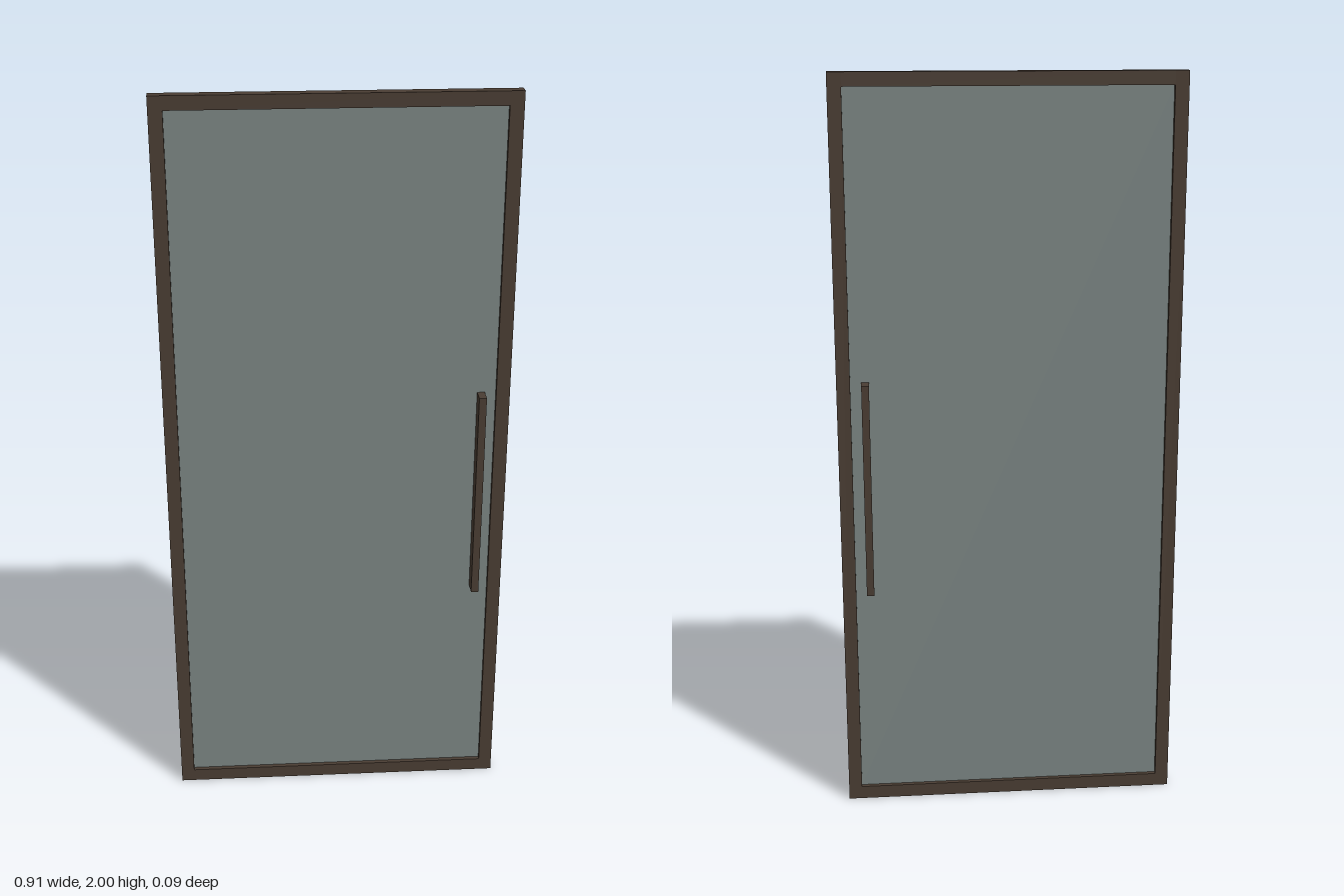
import * as THREE from 'three';

export function createModel() {
  const door = new THREE.Group();
  door.name = 'glassDoor';

  const frameMat = new THREE.MeshStandardMaterial({ color: 0x4a3d33 });
  const glassMat = new THREE.MeshStandardMaterial({ color: 0x7b8583 });

  const W = 0.91, H = 2, D = 0.032; // overall door size
  const bar = 0.036;                // width of the frame members
  const glassD = 0.008;

  const box = (name, w, h, d, x, y, z, mat = frameMat) => {
    const mesh = new THREE.Mesh(new THREE.BoxGeometry(w, h, d), mat);
    mesh.name = name;
    mesh.position.set(x, y, z);
    door.add(mesh);
  };

  // Full-height stiles with rails fitted between them
  for (const [side, s] of [['left', 1], ['right', -1]]) {
    box(side + 'Stile', bar, H, D, s * (W - bar) / 2, H / 2, 0);
  }
  box('topRail', W - 2 * bar, bar, D, 0, H - bar / 2, 0);
  box('bottomRail', W - 2 * bar, bar, D, 0, bar / 2, 0);

  // Pane, recessed from both faces of the frame
  box('glassPane', W - 2 * bar, H - 2 * bar, glassD, 0, H / 2, 0, glassMat);

  // Vertical pull handles standing on both faces of the pane
  const reach = 0.045, handleD = reach - glassD / 2;
  for (const [face, s] of [['front', 1], ['back', -1]]) {
    box(face + 'Handle', 0.02, 0.584, handleD, 0.38, 0.916, s * (reach - handleD / 2));
  }

  return door;
}
